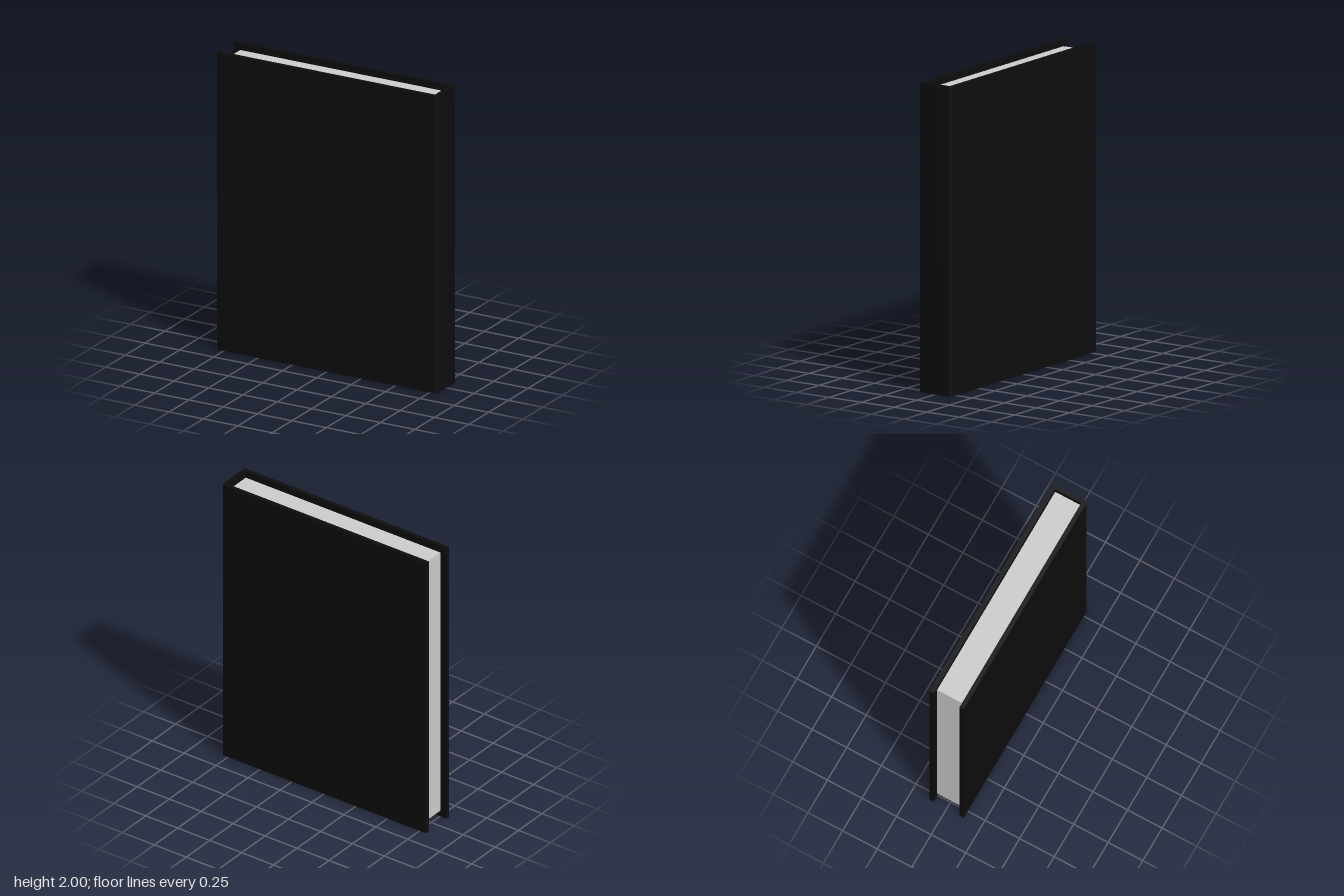
import * as THREE from 'three';
import { toCreasedNormals } from 'three/addons/utils/BufferGeometryUtils.js';

export function createModel() {
  const book = new THREE.Group();
  book.name = 'book';

  const coverMaterial = new THREE.MeshStandardMaterial({ color: 0x0d0d0d });
  coverMaterial.name = 'black cover';
  const paperMaterial = new THREE.MeshStandardMaterial({ color: 0xcccccc });
  paperMaterial.name = 'pale grey paper';

  const halfWidth = 0.8, height = 2, halfDepth = 0.124;
  const board = 0.03; // thickness of the boards and spine
  const radius = 0.02; // rounding of the outer spine edges
  const inset = 0.045; // pages stop short of the board edges

  // Cover: a U-shaped section, open at the fore edge, with a rounded spine
  const section = new THREE.Shape();
  section.moveTo(-halfWidth, -halfDepth);
  section.lineTo(halfWidth - radius, -halfDepth);
  section.absarc(halfWidth - radius, -halfDepth + radius, radius, -Math.PI / 2, 0, false);
  section.lineTo(halfWidth, halfDepth - radius);
  section.absarc(halfWidth - radius, halfDepth - radius, radius, 0, Math.PI / 2, false);
  section.lineTo(-halfWidth, halfDepth);
  section.lineTo(-halfWidth, halfDepth - board);
  section.lineTo(halfWidth - board, halfDepth - board);
  section.lineTo(halfWidth - board, -halfDepth + board);
  section.lineTo(-halfWidth, -halfDepth + board);
  section.closePath();

  const coverGeometry = new THREE.ExtrudeGeometry(section, {
    depth: height, bevelEnabled: false, curveSegments: 8,
  });
  coverGeometry.rotateX(-Math.PI / 2);
  const cover = new THREE.Mesh(toCreasedNormals(coverGeometry, 0.5), coverMaterial);
  cover.name = 'cover';
  book.add(cover);

  // Page block, set back at the head, tail and fore edge
  const left = -halfWidth + inset, right = halfWidth - board;
  const pages = new THREE.Mesh(
    new THREE.BoxGeometry(right - left, height - 2 * inset, 2 * (halfDepth - board)),
    paperMaterial,
  );
  pages.name = 'pages';
  pages.position.set((left + right) / 2, height / 2, 0);
  book.add(pages);

  return book;
}
